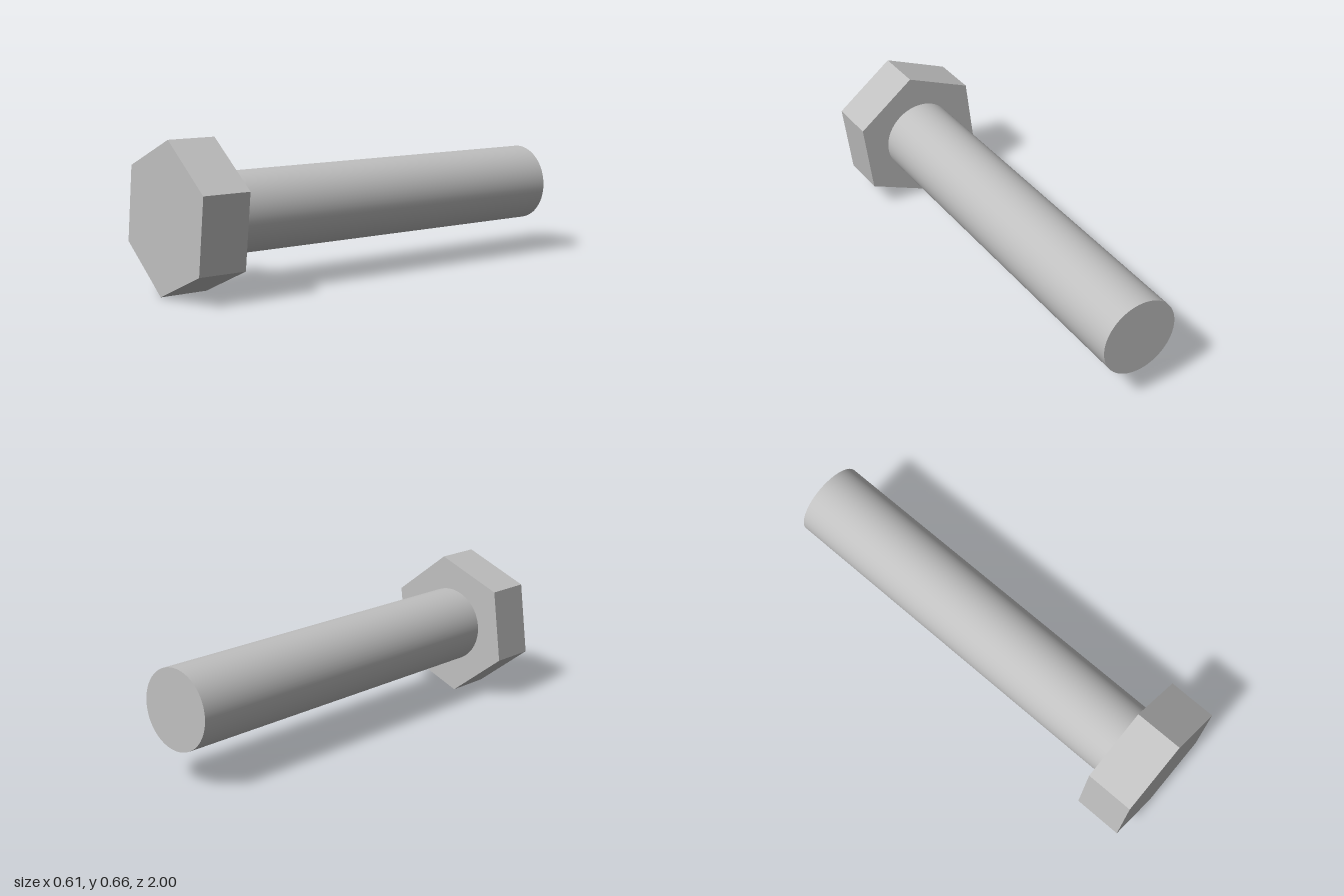
import * as THREE from 'three';

const CENTER_Y = 0.33;
const HEAD_RADIUS = 0.3325;
const HEAD_BACK = 0.78;
const SHANK_RADIUS = 0.176;

export function createModel() {
  const bolt = new THREE.Group();
  bolt.name = 'hexBolt';

  const steel = new THREE.MeshStandardMaterial({ color: 0xc0c0c0 });
  steel.name = 'steel grey';

  // Hexagonal head, turned slightly about the bolt axis
  const corners = [];
  for (let i = 0; i < 6; i++) {
    const a = THREE.MathUtils.degToRad(82.93 + i * 60);
    corners.push(new THREE.Vector2(Math.cos(a) * HEAD_RADIUS, Math.sin(a) * HEAD_RADIUS));
  }
  const headGeometry = new THREE.ExtrudeGeometry(new THREE.Shape(corners), {
    depth: 1 - HEAD_BACK,
    bevelEnabled: false,
  });
  const head = new THREE.Mesh(headGeometry, steel);
  head.name = 'head';
  head.position.set(0, CENTER_Y, HEAD_BACK);
  bolt.add(head);

  // Smooth round shank running from the head to the back end
  const length = HEAD_BACK + 1;
  const shankGeometry = new THREE.CylinderGeometry(SHANK_RADIUS, SHANK_RADIUS, length, 64);
  shankGeometry.rotateX(Math.PI / 2);
  const shank = new THREE.Mesh(shankGeometry, steel);
  shank.name = 'shank';
  shank.position.set(0, CENTER_Y, HEAD_BACK - length / 2);
  bolt.add(shank);

  return bolt;
}
